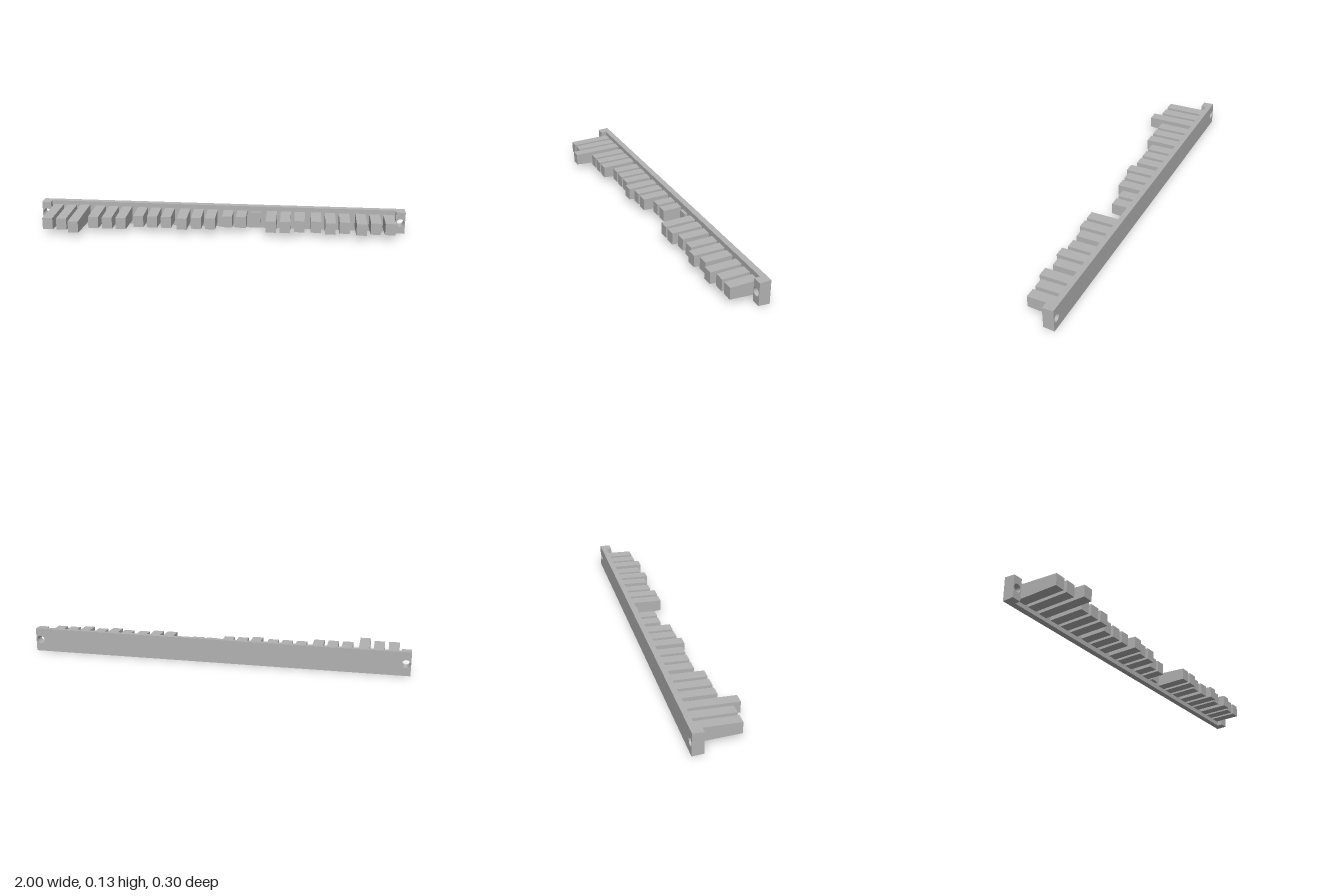
import * as THREE from 'three';

const MID = 0.0627;       // mid height of the whole strip
const DRAFT = 0.0375;     // slope of all upper and lower faces
const BACK = -0.15, BAR_FRONT = -0.12, END_FRONT = -0.0915;
const END_X = 0.95;

// Prism across x whose height shrinks from halfBack to halfFront
function draftedPrism(width, zBack, zFront, halfBack, halfFront) {
  const shape = new THREE.Shape([
    new THREE.Vector2(-zFront, -halfFront), new THREE.Vector2(-zBack, -halfBack),
    new THREE.Vector2(-zBack, halfBack), new THREE.Vector2(-zFront, halfFront),
  ]);
  return new THREE.ExtrudeGeometry(shape, { depth: width, bevelEnabled: false })
    .translate(0, 0, -width / 2).rotateY(Math.PI / 2);
}

// Mounting block with a round hole from front to back
function endBlockGeometry() {
  const w = (1 - END_X) / 2, h = MID, depth = END_FRONT - BACK;
  const shape = new THREE.Shape([
    new THREE.Vector2(-w, -h), new THREE.Vector2(w, -h),
    new THREE.Vector2(w, h), new THREE.Vector2(-w, h),
  ]);
  const hole = new THREE.Path();
  hole.absarc(0, 0, 0.021, 0, Math.PI * 2, true);
  shape.holes.push(hole);
  const geo = new THREE.ExtrudeGeometry(shape, { depth, bevelEnabled: false, curveSegments: 12 });
  // Slope the top and bottom, leaving the hole straight
  const p = geo.attributes.position;
  for (let i = 0; i < p.count; i++) {
    const y = p.getY(i);
    if (Math.abs(y) > 0.05) p.setY(i, y - Math.sign(y) * p.getZ(i) * DRAFT * 1.6);
  }
  geo.computeVertexNormals();
  return geo.translate(0, 0, BACK);
}

export function createModel() {
  const model = new THREE.Group();
  const grey = new THREE.MeshStandardMaterial({ color: 0xb3b3b3 });
  grey.name = 'grey';
  const add = (name, geo, x) => {
    const mesh = new THREE.Mesh(geo, grey);
    mesh.name = name;
    mesh.position.set(x, MID, 0);
    model.add(mesh);
  };

  // Long back bar
  add('backBar', draftedPrism(END_X * 2, BACK, BAR_FRONT, MID, MID - 0.0018), 0);

  // Mounting blocks at both ends
  const block = endBlockGeometry();
  add('leftEndBlock', block, (1 + END_X) / 2);
  add('rightEndBlock', block, -(1 + END_X) / 2);

  // Fingers in eight groups of three; lengths in equal steps
  const steps = [
    [4, 4, 6], [2, 2, 2], [0, 0, 0], [1, 0, 0],
    [-2, -2, -6], [1, 1, 0], [0, 1, 0], [1, 0, 0],
  ];
  const tipHalf = 0.031;
  steps.forEach((trio, g) => trio.forEach((step, i) => {
    const tip = 0.0235 + step * 0.0211;
    const root = BAR_FRONT - 0.005;
    const geo = draftedPrism(0.055, root, tip, tipHalf + (tip - root) * DRAFT, tipHalf);
    add(`finger${g * 3 + i + 1}`, geo, (g - 3.5) * 0.2393 + (i - 1) * 0.0755);
  }));
  return model;
}
